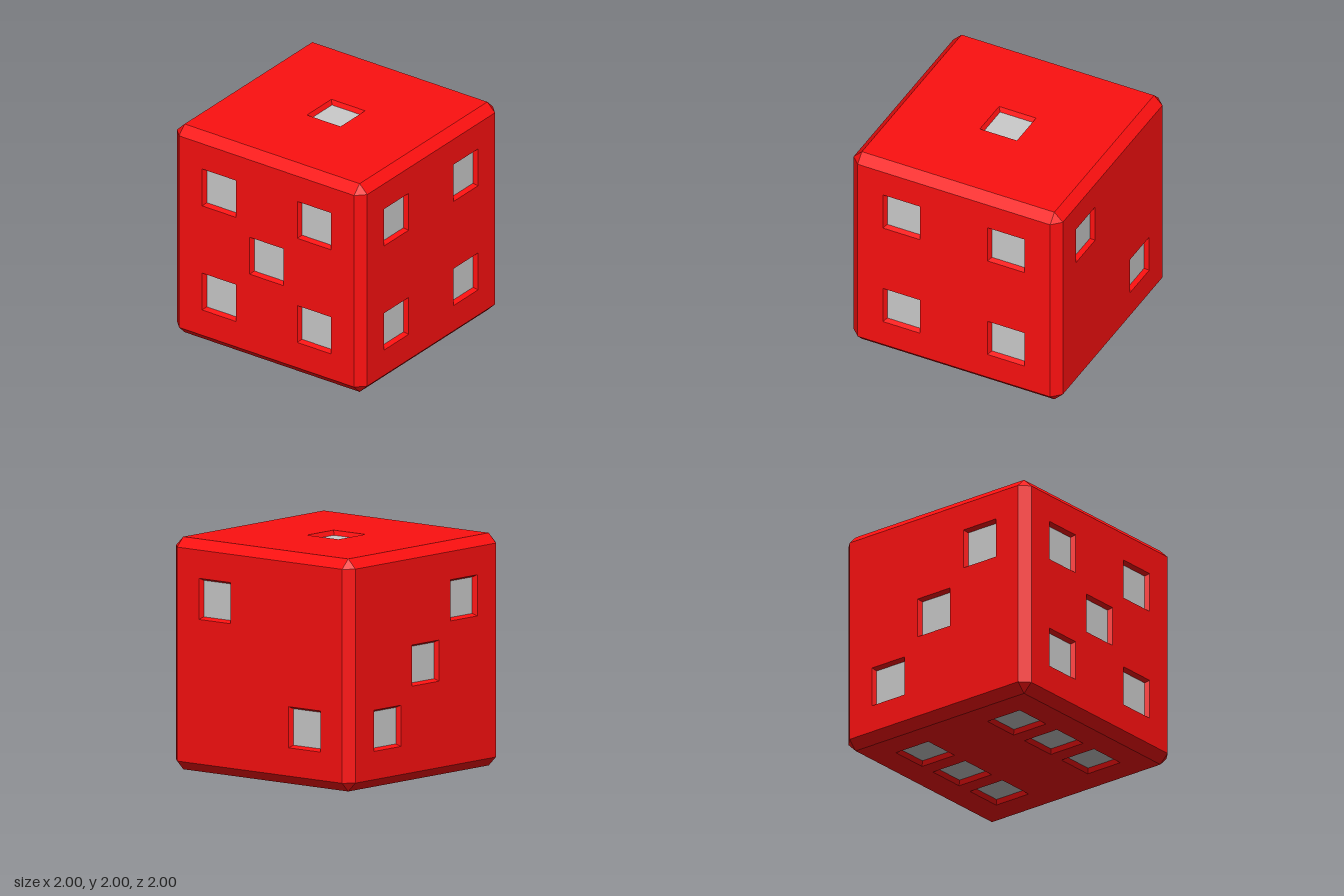
import * as THREE from 'three';
import { mergeGeometries } from 'three/addons/utils/BufferGeometryUtils.js';

const CHAMFER = 0.08, INNER = 1 - CHAMFER;          // cube half size is 1
const PIP = 0.177, FLOOR = 0.157, DEPTH = 0.04;     // recess half widths and depth
const S = 0.5;                                      // pip spacing

const ONE = [[0, 0]];
const TWO = [[-S, S], [S, -S]];
const THREE_PIPS = [[-S, -S], [0, 0], [S, S]];
const FOUR = [[-S, -S], [-S, S], [S, -S], [S, S]];
const FIVE = [...FOUR, [0, 0]];
const SIX = [...FOUR, [-S, 0], [S, 0]];

// name, pips, rotation of a panel that faces +z
const SIDES = [
  ['front', FOUR, 0, 0],
  ['right', TWO, 0, Math.PI / 2],
  ['back', THREE_PIPS, 0, Math.PI],
  ['left', FIVE, 0, -Math.PI / 2],
  ['top', ONE, -Math.PI / 2, 0],
  ['bottom', SIX, Math.PI / 2, 0],
];

function square(path, x, y, h) {
  path.moveTo(x - h, y - h);
  path.lineTo(x + h, y - h);
  path.lineTo(x + h, y + h);
  path.lineTo(x - h, y + h);
  path.closePath();
  return path;
}

// Flat panel with a square opening for each pip
function panelGeometry(pips) {
  const shape = square(new THREE.Shape(), 0, 0, INNER);
  pips.forEach(([x, y]) => shape.holes.push(square(new THREE.Path(), x, y, PIP)));
  return new THREE.ShapeGeometry(shape).translate(0, 0, 1);
}

// Tapered recess walls, turned to face inwards
function recessGeometry() {
  const g = new THREE.CylinderGeometry(PIP * Math.SQRT2, FLOOR * Math.SQRT2, DEPTH, 4, 1, true);
  g.rotateY(Math.PI / 4).rotateX(Math.PI / 2).translate(0, 0, 1 - DEPTH / 2);
  g.index.array.reverse();
  const flat = g.toNonIndexed();
  flat.computeVertexNormals();
  return flat;
}

// Twelve bevel strips, four around each axis
function edgeGeometry() {
  const strips = [];
  for (let axis = 0; axis < 3; axis++) {
    for (let i = 0; i < 4; i++) {
      const g = new THREE.PlaneGeometry(2 * INNER, CHAMFER * Math.SQRT2);
      g.translate(0, 0, (1 - CHAMFER / 2) * Math.SQRT2);
      g.rotateX(Math.PI / 4 + i * Math.PI / 2);
      if (axis === 1) g.rotateZ(Math.PI / 2);
      if (axis === 2) g.rotateY(Math.PI / 2);
      strips.push(g);
    }
  }
  return mergeGeometries(strips);
}

// Eight triangles closing the corners
function cornerGeometry() {
  const points = [];
  for (const x of [-1, 1]) for (const y of [-1, 1]) for (const z of [-1, 1]) {
    const a = [x, y * INNER, z * INNER];
    const b = [x * INNER, y, z * INNER];
    const c = [x * INNER, y * INNER, z];
    points.push(...(x * y * z > 0 ? [a, b, c] : [a, c, b]).flat());
  }
  const g = new THREE.BufferGeometry();
  g.setAttribute('position', new THREE.Float32BufferAttribute(points, 3));
  g.computeVertexNormals();
  return g;
}

export function createModel() {
  const red = new THREE.MeshStandardMaterial({ color: 0xfd1010, flatShading: true });
  const grey = new THREE.MeshStandardMaterial({ color: 0xcccccc, flatShading: true });
  const model = new THREE.Group();
  model.name = 'die';

  const add = (parent, name, geometry, material) => {
    const mesh = new THREE.Mesh(geometry, material);
    mesh.name = name;
    parent.add(mesh);
    return mesh;
  };

  const body = new THREE.Group();
  body.name = 'body';
  body.position.y = 1;
  model.add(body);

  const recess = recessGeometry();
  const floor = new THREE.PlaneGeometry(2 * FLOOR, 2 * FLOOR).translate(0, 0, 1 - DEPTH);

  // Six sides with their recessed pips
  for (const [name, pips, rx, ry] of SIDES) {
    const side = new THREE.Group();
    side.name = name + 'Side';
    side.rotation.set(rx, ry, 0);
    body.add(side);
    add(side, name + 'Panel', panelGeometry(pips), red);
    for (const [x, y] of pips) {
      add(side, 'pipWall', recess, red).position.set(x, y, 0);
      add(side, 'pipFloor', floor, grey).position.set(x, y, 0);
    }
  }

  add(body, 'bevelledEdges', edgeGeometry(), red);
  add(body, 'bevelledCorners', cornerGeometry(), red);
  return model;
}
